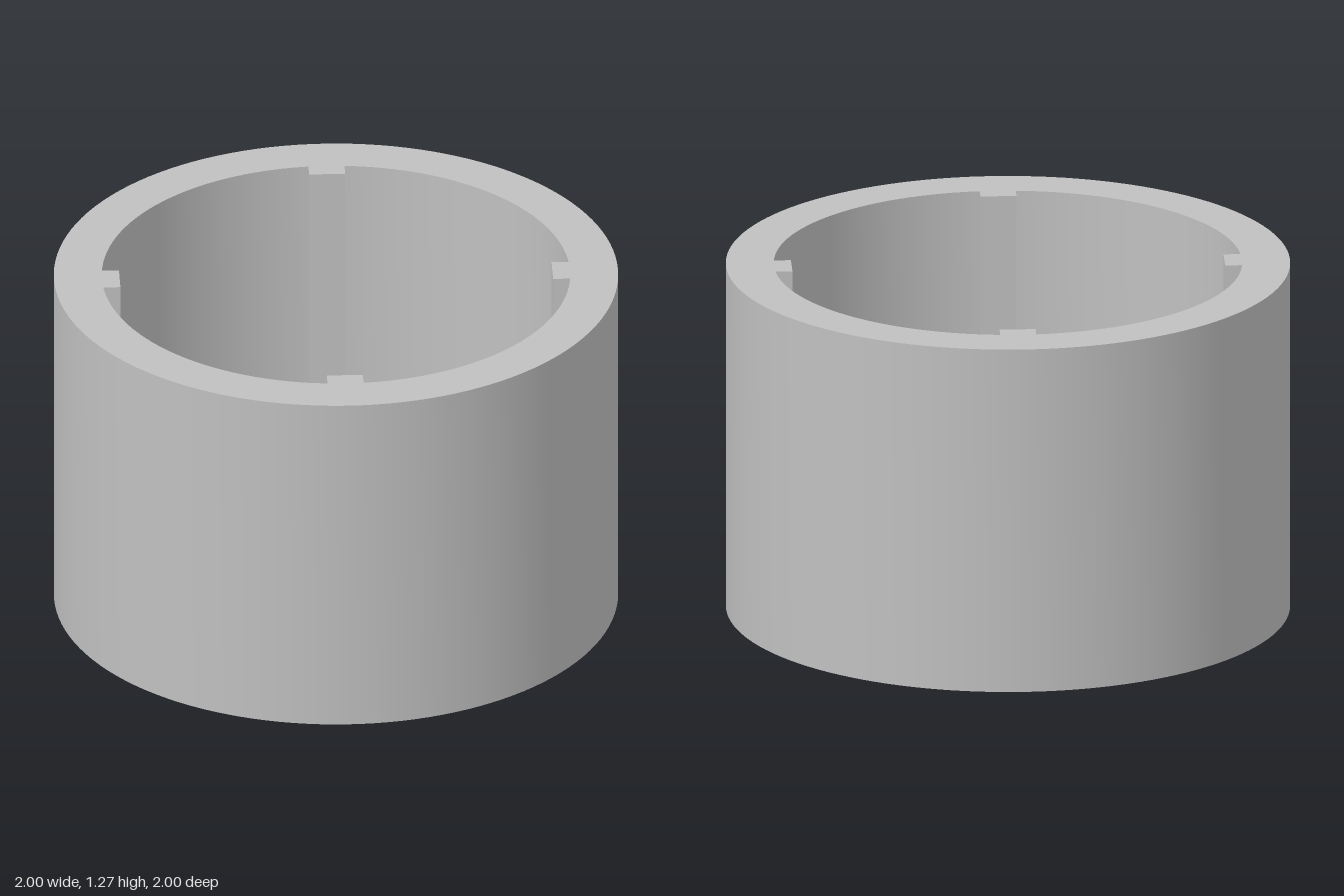
import * as THREE from 'three';
import { toCreasedNormals } from 'three/addons/utils/BufferGeometryUtils.js';

const HEIGHT = 1.275, OUTER = 1, INNER = 0.83, FLOOR = 0.17, HOLE = 0.087;
const RIB_FACE = 0.767, RIB_HALF = 0.064;

export function createModel() {
  const model = new THREE.Group();
  model.name = 'ribbedCup';
  const grey = new THREE.MeshStandardMaterial({ color: 0xc0c0c0 });
  grey.name = 'grey';

  // Cup: closed profile around wall, floor and drain hole
  const profile = [
    [HOLE, 0], [OUTER, 0], [OUTER, HEIGHT], [INNER, HEIGHT],
    [INNER, FLOOR], [HOLE, FLOOR], [HOLE, 0],
  ].map(([r, y]) => new THREE.Vector2(r, y));
  const cup = new THREE.Mesh(
    toCreasedNormals(new THREE.LatheGeometry(profile, 128), Math.PI / 6), grey);
  cup.name = 'cup';
  model.add(cup);

  // Inner ribs: flat-faced keys whose backs follow the cup wall
  const a = Math.asin(RIB_HALF / INNER);
  const section = new THREE.Shape();
  section.moveTo(RIB_FACE, -RIB_HALF);
  section.lineTo(INNER * Math.cos(a), -RIB_HALF);
  section.absarc(0, 0, INNER, -a, a, false);
  section.lineTo(RIB_FACE, RIB_HALF);
  section.closePath();
  const ribGeometry = new THREE.ExtrudeGeometry(section, {
    depth: HEIGHT - FLOOR, bevelEnabled: false, curveSegments: 6,
  });
  ribGeometry.rotateX(-Math.PI / 2).translate(0, FLOOR, 0);
  for (let i = 0; i < 4; i++) {
    const rib = new THREE.Mesh(ribGeometry, grey);
    rib.name = `innerRib${i + 1}`;
    rib.rotation.y = Math.PI / 4 + i * Math.PI / 2;
    model.add(rib);
  }
  return model;
}
